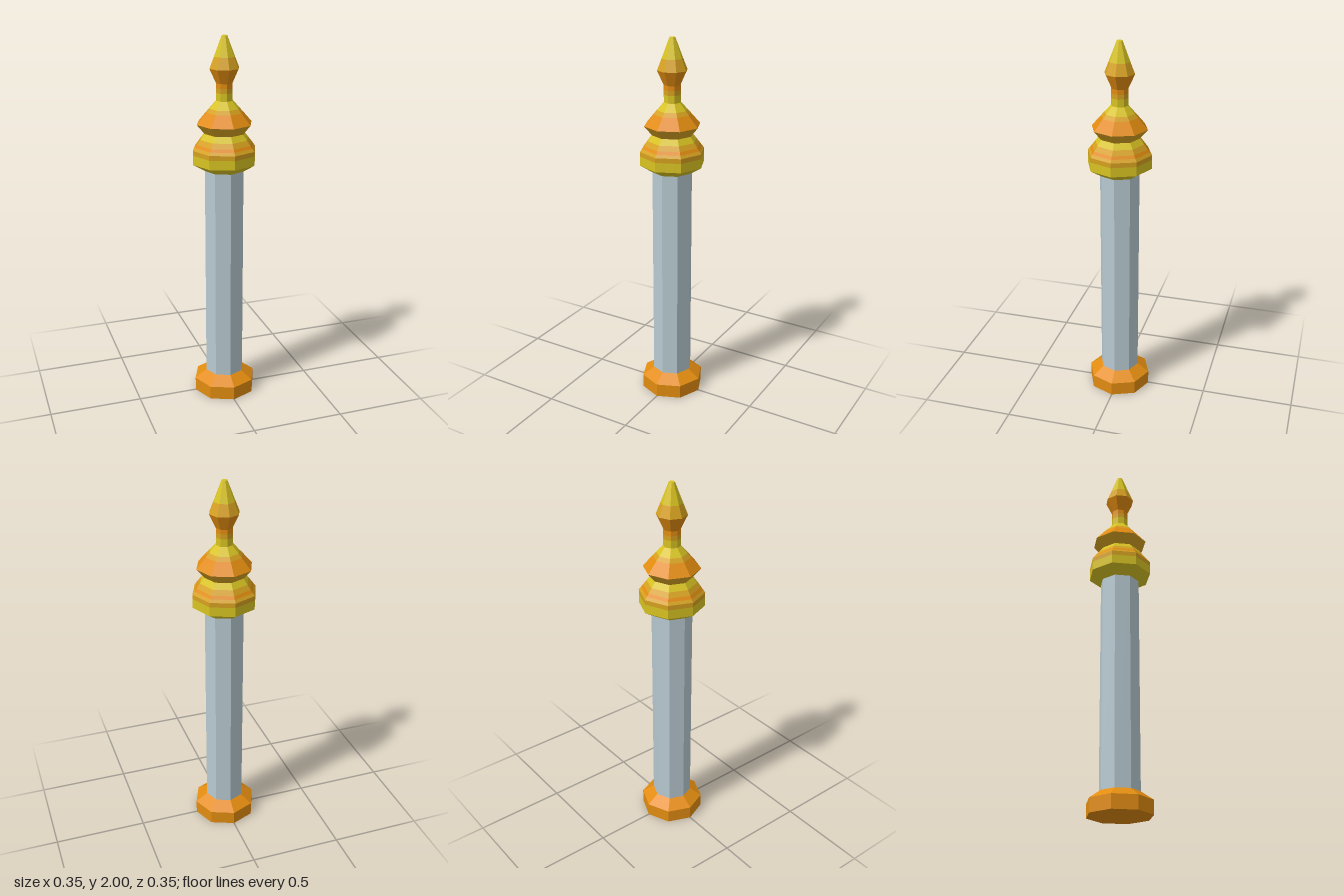
import * as THREE from 'three';

const colours = { orange: 0xe28c10, gold: 0xd6a11f, yellow: 0xd8c322, steel: 0xb8cad1 };
const mats = {};
for (const [name, color] of Object.entries(colours)) {
  mats[name] = new THREE.MeshStandardMaterial({ color });
  mats[name].name = name;
}

// Faceted eight-sided ring between two heights
function ring(y0, r0, y1, r1, colour, open = true) {
  let geo = new THREE.CylinderGeometry(r1, r0, y1 - y0, 8, 1, open);
  geo = geo.toNonIndexed();
  geo.computeVertexNormals();
  const mesh = new THREE.Mesh(geo, mats[colour]);
  mesh.position.y = (y0 + y1) / 2;
  return mesh;
}

// Stack of rings; each row is [y, radius, colour of the ring above it]
function stack(name, rows) {
  const group = new THREE.Group();
  group.name = name;
  for (let i = 0; i < rows.length - 1; i++) {
    const [y0, r0, colour] = rows[i];
    const [y1, r1] = rows[i + 1];
    const mesh = ring(y0, r0, y1, r1, colour);
    mesh.name = `${name}Band${i + 1}`;
    group.add(mesh);
  }
  return group;
}

// Flat octagonal end face
function endFace(name, y, r, colour, down) {
  const mesh = new THREE.Mesh(new THREE.CircleGeometry(r, 8), mats[colour]);
  mesh.name = name;
  mesh.rotation.x = down ? Math.PI / 2 : -Math.PI / 2;
  mesh.position.y = y;
  return mesh;
}

export function createModel() {
  const model = new THREE.Group();
  model.name = 'ornamentalPost';

  // Foot
  model.add(endFace('footUnderside', 0, 0.173, 'orange', true));
  model.add(stack('foot', [[0, 0.173, 'orange'], [0.075, 0.173, 'orange'], [0.12, 0.108]]));

  // Shaft
  const shaft = ring(0.12, 0.108, 1.3, 0.108, 'steel');
  shaft.name = 'shaft';
  model.add(shaft);

  // Collar
  model.add(stack('collar', [
    [1.3, 0.108, 'yellow'], [1.34, 0.173, 'yellow'], [1.39, 0.173, 'gold'],
    [1.415, 0.173, 'gold'], [1.43, 0.161, 'orange'], [1.445, 0.15, 'gold'],
    [1.47, 0.131, 'yellow'], [1.5, 0.108],
  ]));

  // Flared cone
  model.add(stack('flare', [
    [1.5, 0.108, 'gold'], [1.55, 0.15, 'orange'], [1.61, 0.098, 'gold'],
    [1.63, 0.08, 'yellow'], [1.67, 0.045],
  ]));

  // Neck and pointed tip
  model.add(stack('finial', [
    [1.67, 0.045, 'yellow'], [1.71, 0.045, 'gold'], [1.735, 0.045, 'orange'],
    [1.76, 0.045, 'orange'], [1.835, 0.08, 'gold'], [1.895, 0.056, 'yellow'], [2, 0.015],
  ]));
  model.add(endFace('finialTip', 2, 0.015, 'yellow', false));

  return model;
}
